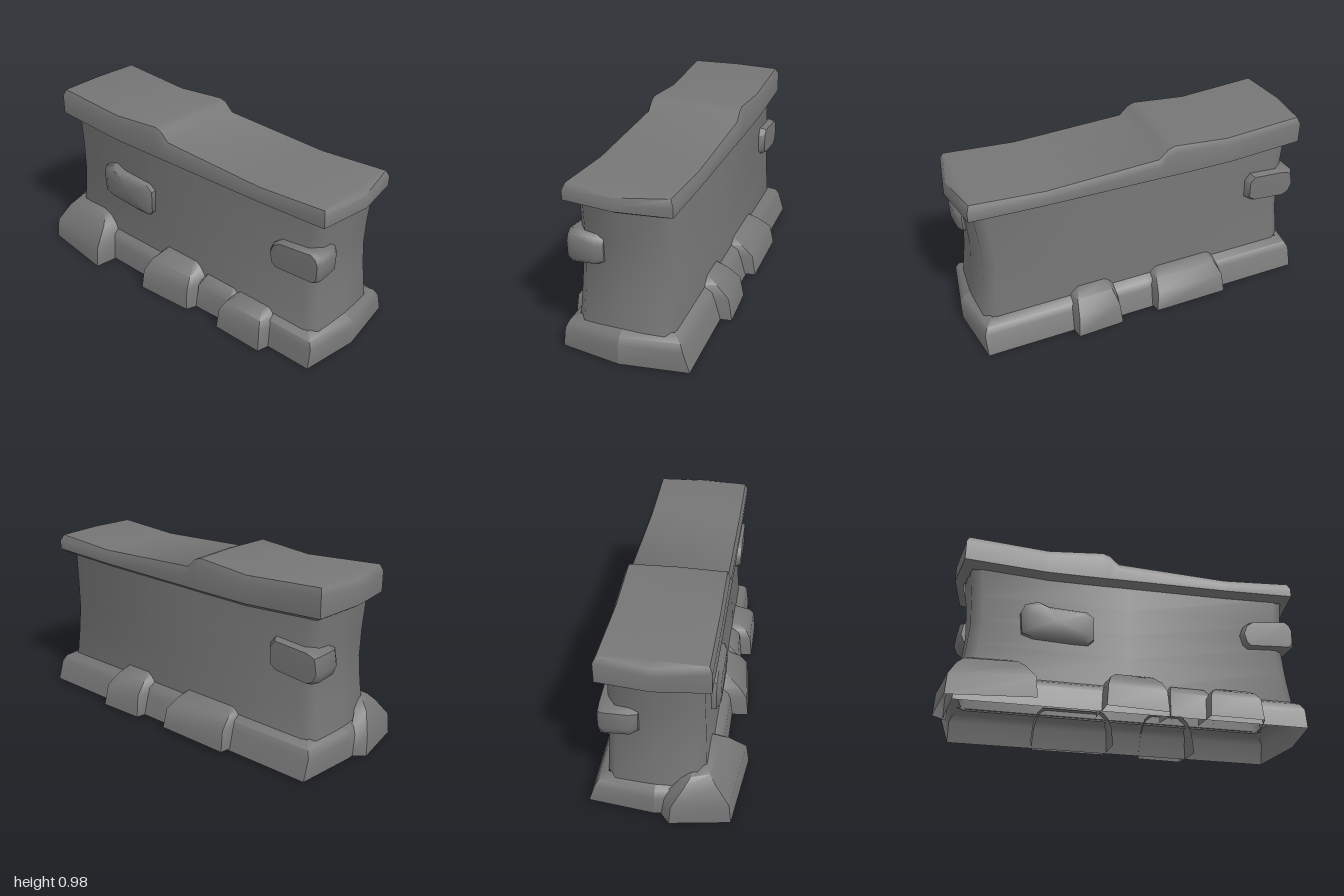
import * as THREE from 'three';
import { toCreasedNormals } from 'three/addons/utils/BufferGeometryUtils.js';

const stone = new THREE.MeshStandardMaterial({ color: 0x767676, side: THREE.DoubleSide });
stone.name = 'grey stone';

// Skin a grid of points (rows of equal length), smooth apart from sharp creases
function skin(name, rows, crease = 0.9, closed = false) {
  const pos = [];
  const tri = (a, b, c) => {
    const [A, B, C] = [a, b, c].map(p => new THREE.Vector3(...p));
    if (B.clone().sub(A).cross(C.clone().sub(A)).length() > 1e-7) pos.push(...a, ...b, ...c);
  };
  for (let i = 0; i < rows.length - 1; i++) {
    const n = rows[i].length;
    for (let j = 0; j < (closed ? n : n - 1); j++) {
      const k = (j + 1) % n;
      const a = rows[i][j], b = rows[i][k], c = rows[i + 1][k], d = rows[i + 1][j];
      tri(a, b, c);
      tri(a, c, d);
    }
  }
  const geo = new THREE.BufferGeometry();
  geo.setAttribute('position', new THREE.Float32BufferAttribute(pos, 3));
  const mesh = new THREE.Mesh(toCreasedNormals(geo, crease), stone);
  mesh.name = name;
  return mesh;
}

// Long shell: stations along x, each with a section going over from front to back.
// section(station) lists [frontZ, backZ, y, xScale] from the bottom up.
function shell(name, stations, section, over, crease) {
  const rows = stations.map(st => {
    const [x, s] = st;
    const pts = section(st);
    const at = (z, y, k) => [x * k, y, -0.02 + (z + 0.02) * s];
    const front = pts.map(([f, , y, k]) => at(f, y, k));
    const back = pts.map(([, b, y, k]) => at(b, y, k)).reverse();
    const [, , y, k] = pts[pts.length - 1];
    return [...front, ...(over ? [[x * k, y + 0.006 * s, -0.02]] : []), ...back];
  });
  if (over) return skin(name, rows, crease);
  // Open top: keep the front and back walls separate
  const half = pts => rows.map(r => (pts ? r.slice(r.length / 2) : r.slice(0, r.length / 2)));
  const group = new THREE.Group();
  group.name = name;
  group.add(skin(name + 'Front', half(false), crease), skin(name + 'Back', half(true), crease));
  return group;
}

// Boulder leaning on the wall: footprint [x, z] from one wall side to the other,
// levels [y, xScale, depthScale]
function boulder(name, foot, wallZ, levels) {
  const xs = foot.map(p => p[0]);
  const cx = (Math.min(...xs) + Math.max(...xs)) / 2;
  const rows = levels.map(([y, sx, sz]) =>
    foot.map(([x, z]) => [cx + (x - cx) * sx, y, wallZ + (z - wallZ) * sz]));
  return skin(name, rows, 0.8);
}

// Protruding stone: an [x, y] outline swept through rings [z, scale]
function block(name, outline, rings) {
  const mid = i => outline.reduce((t, p) => t + p[i], 0) / outline.length;
  const cx = mid(0), cy = mid(1);
  const rows = rings.map(([z, s]) => outline.map(([x, y]) => [cx + (x - cx) * s, cy + (y - cy) * s, z]));
  return skin(name, rows, 0.8, true);
}

export function createModel() {
  const model = new THREE.Group();
  model.name = 'stoneWall';

  // Main wall, slightly pinched at mid height
  model.add(shell('wallBody',
    [[-0.892, 0], [-0.875, 0.82], [-0.82, 1], [0, 1], [0.86, 1], [0.915, 0.82], [0.932, 0]],
    () => [
      [0.235, -0.275, 0.18, 1.01], [0.225, -0.267, 0.36, 0.985], [0.22, -0.263, 0.5, 0.972],
      [0.215, -0.258, 0.65, 0.98], [0.21, -0.25, 0.83, 1],
    ], true, 1.0));

  // Coping with a broken step; station: x, width, underside, top
  model.add(shell('coping',
    [[-0.95, 0, 0.82, 0.972], [-0.91, 1, 0.81, 0.985], [-0.47, 1, 0.785, 0.957], [-0.16, 1, 0.787, 0.985],
      [-0.12, 1, 0.788, 0.972], [-0.07, 1, 0.789, 0.925], [0.56, 1, 0.797, 0.9], [0.95, 1, 0.81, 0.925], [1, 0, 0.82, 0.912]],
    ([, , b, t]) => [
      [0.205, -0.245, b, 0.95], [0.255, -0.292, b + 0.03, 1],
      [0.255, -0.292, t - 0.035, 1], [0.24, -0.275, t, 0.985],
    ], true, 0.8));

  // Flared footing, open underneath
  model.add(shell('footing',
    [[-0.95, 0], [-0.91, 1], [0, 1], [0.95, 1], [1, 0]],
    () => [
      [0.3, -0.37, 0.02, 1], [0.285, -0.335, 0.13, 1], [0.27, -0.315, 0.165, 0.98], [0.23, -0.27, 0.19, 0.935],
    ], false, 0.9));

  // Boulders along the foot of the wall
  model.add(
    boulder('cornerBoulder', [[-0.93, 0], [-1, 0.06], [-0.95, 0.37], [-0.51, 0.425], [-0.48, 0.2]], 0.2,
      [[0.015, 1, 1], [0.13, 0.97, 0.93], [0.225, 0.78, 0.5], [0.265, 0.62, 0.3], [0.285, 0.42, 0.12], [0.285, 0.4, 0]]),
    boulder('middleBoulder', [[-0.18, 0.2], [-0.16, 0.39], [0.17, 0.365], [0.23, 0.2]], 0.2,
      [[0.02, 1, 1], [0.14, 0.95, 0.93], [0.2, 0.84, 0.68], [0.25, 0.62, 0.3], [0.255, 0.58, 0]]),
    boulder('lowBoulder', [[0.37, 0.2], [0.39, 0.365], [0.68, 0.365], [0.72, 0.2]], 0.2,
      [[0.02, 1, 1], [0.14, 0.94, 0.92], [0.18, 0.8, 0.75], [0.21, 0.6, 0.45], [0.212, 0.58, 0]]),
    boulder('fillerBoulder', [[0.16, 0.2], [0.19, 0.31], [0.42, 0.3], [0.46, 0.2]], 0.2,
      [[0.02, 1, 1], [0.16, 0.95, 0.85], [0.21, 0.8, 0.4], [0.215, 0.7, 0]]),
    boulder('backLongBoulder', [[0.01, -0.24], [-0.01, -0.425], [-0.43, -0.425], [-0.46, -0.24]], -0.24,
      [[0.03, 1, 1], [0.14, 0.95, 0.88], [0.19, 0.86, 0.5], [0.22, 0.74, 0.2], [0.222, 0.7, 0]]),
    boulder('backShortBoulder', [[0.49, -0.24], [0.46, -0.43], [0.2, -0.42], [0.16, -0.24]], -0.24,
      [[0.02, 1, 1], [0.14, 0.92, 0.88], [0.2, 0.78, 0.5], [0.235, 0.58, 0.2], [0.237, 0.55, 0]]),
  );

  // Stones standing proud of the wall faces
  model.add(
    block('frontStone',
      [[-0.6, 0.56], [-0.59, 0.44], [-0.53, 0.42], [-0.32, 0.41], [-0.23, 0.41], [-0.2, 0.44],
        [-0.2, 0.57], [-0.24, 0.6], [-0.45, 0.61], [-0.51, 0.635], [-0.58, 0.61]],
      [[0.2, 1], [0.245, 0.98], [0.265, 0.78], [0.268, 0]]),
    block('rightCornerStone',
      [[0.63, 0.57], [0.645, 0.51], [0.67, 0.49], [0.92, 0.505], [0.942, 0.53], [0.945, 0.62],
        [0.93, 0.655], [0.9, 0.675], [0.69, 0.65], [0.65, 0.62]],
      [[0.07, 0], [0.075, 0.8], [0.11, 0.96], [0.23, 1], [0.255, 0.9], [0.26, 0]]),
    block('leftCornerStone',
      [[-0.92, 0.56], [-0.9, 0.51], [-0.86, 0.49], [-0.65, 0.51], [-0.61, 0.54], [-0.61, 0.64],
        [-0.64, 0.68], [-0.85, 0.665], [-0.905, 0.645]],
      [[-0.09, 0], [-0.1, 0.8], [-0.14, 0.97], [-0.265, 1], [-0.293, 0.88], [-0.297, 0]]),
  );
  return model;
}
